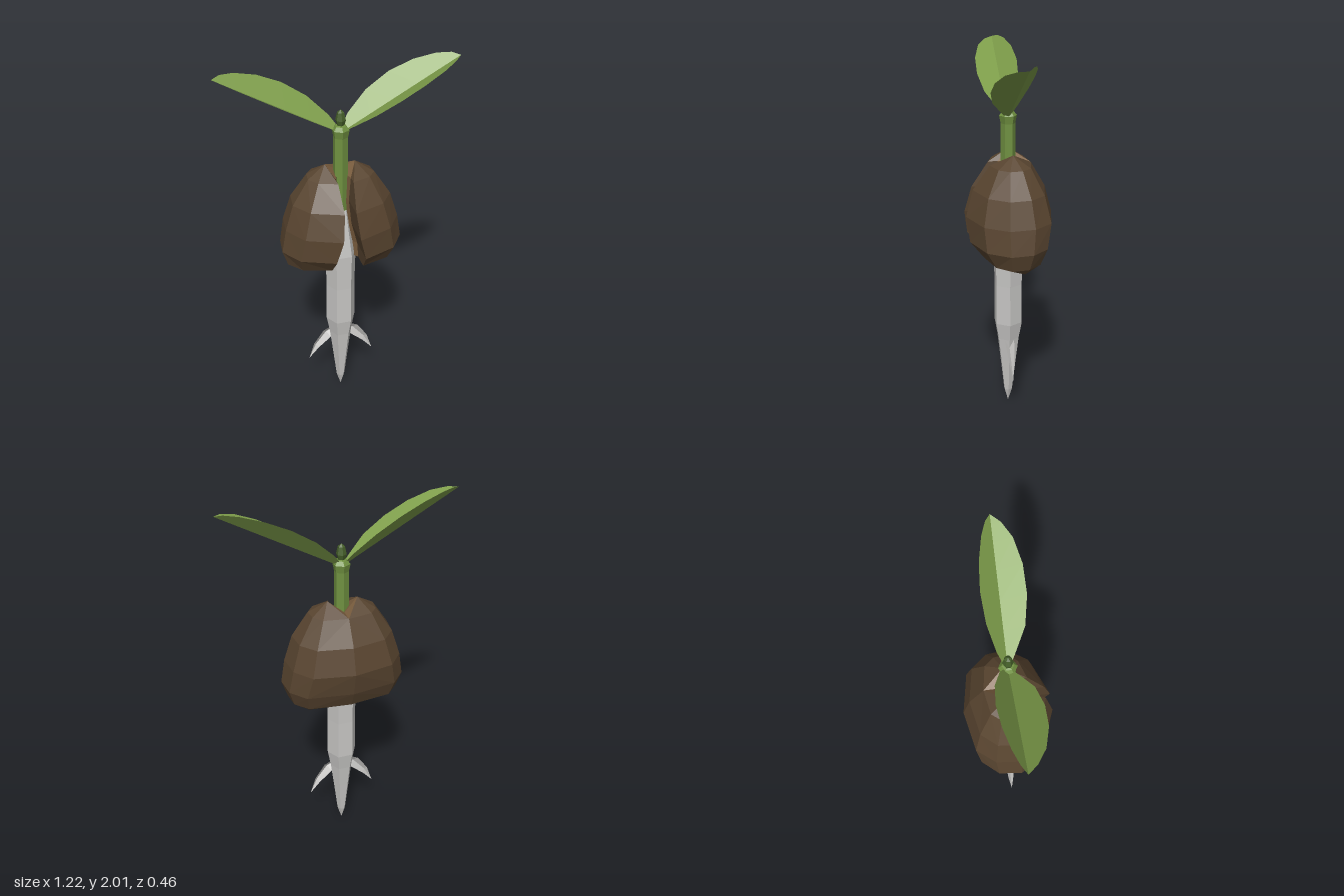
import * as THREE from 'three';

const mat = (name, color, extra = {}) => {
  const m = new THREE.MeshStandardMaterial({ color, flatShading: true, ...extra });
  m.name = name;
  return m;
};

// Skin between neighbouring cross-sections (listed from top to bottom, points counterclockwise from above)
function loft(rings, columns) {
  const pos = [];
  const tri = (...pts) => pts.forEach((p) => pos.push(...p));
  for (let i = 0; i < rings.length - 1; i++) {
    const up = rings[i], low = rings[i + 1], n = up.length;
    for (const j of columns) {
      const k = (j + 1) % n;
      tri(low[j], low[k], up[k]);
      tri(low[j], up[k], up[j]);
    }
  }
  const g = new THREE.BufferGeometry();
  g.setAttribute('position', new THREE.Float32BufferAttribute(pos, 3));
  g.computeVertexNormals();
  return g;
}

// Six-sided turned shape; profile is [radius, y] from bottom to top
const turned = (profile, start) =>
  new THREE.LatheGeometry(profile.map(([r, y]) => new THREE.Vector2(r, y)), 6, start, Math.PI * 2);

export function createModel() {
  const model = new THREE.Group();
  model.name = 'sprout';

  const leafGreen = mat('leaf green', 0x7f9f4b, { side: THREE.DoubleSide });
  const stemGreen = mat('stem green', 0x6f9040);
  const budGreen = mat('bud green', 0x46602a);
  const rootWhite = mat('root white', 0xc6c5c3);
  const coatBrown = mat('seed coat brown', 0x594530);
  const innerBrown = mat('seed inside brown', 0x7a5d3e);

  const add = (parent, name, geometry, material) => {
    const mesh = new THREE.Mesh(geometry, material);
    mesh.name = name;
    parent.add(mesh);
    return mesh;
  };

  // Main root, stem and central bud
  add(model, 'mainRoot', turned([[0, 0], [0.024, 0.08], [0.047, 0.28], [0.064, 0.42], [0.082, 0.52],
    [0.08, 0.75], [0.085, 0.96], [0.04, 1.23], [0, 1.23]], Math.PI / 2), rootWhite);
  add(model, 'stem', turned([[0.04, 1.2], [0.038, 1.64], [0.046, 1.68], [0.03, 1.7], [0, 1.71]], 0), stemGreen);
  add(model, 'bud', turned([[0.012, 1.68], [0.027, 1.73], [0.018, 1.77], [0, 1.785]], 0), budGreen);

  // Seed coat half: y, inner x, outer x, front z, back z
  const levels = [
    [1.43, 0.04, 0.175, 0.1, -0.12],
    [1.3, 0.03, 0.26, 0.19, -0.195],
    [1.16, 0.045, 0.303, 0.228, -0.232],
    [1.03, 0.078, 0.325, 0.212, -0.205],
    [0.94, 0.085, 0.295, 0.14, -0.165],
  ];
  const seedRing = ([y, a, b, f, k]) => {
    const x = (u) => a + u * (b - a);
    return [
      [a, y, f], [x(0.7), y, f * 0.68], [x(1), y, f * 0.15], [x(0.95), y, k * 0.42],
      [x(0.65), y, k * 0.83], [0, y, k], [0, y, -0.05], [a, y, 0.05],
    ];
  };
  const pole = (...p) => Array(8).fill(p);
  const seedRings = [pole(0.08, 1.49, -0.015), ...levels.map(seedRing), pole(0.2, 0.88, -0.06)];

  // Leaf stations: x, front edge z, back edge z
  const stations = [
    [0.02, 0.02, -0.025], [0.05, 0.04, -0.045], [0.15, 0.1, -0.078], [0.27, 0.124, -0.088],
    [0.39, 0.12, -0.077], [0.5, 0.09, -0.052], [0.57, 0.045, -0.026], [0.61, 0, 0],
  ];
  const leafSections = stations.map(([x, f, k]) => {
    const y = 1.672 + (x - 0.02) * 0.555;
    return [[x, y + f * 0.3, f], [x, y, 0], [x, y - k * 1.25, k]];
  });

  // Side root sections: centre x, centre y, half thickness, half depth
  const sideSections = [
    [0.03, 0.425, 0.035, 0.025], [0.08, 0.4, 0.035, 0.025], [0.145, 0.325, 0.022, 0.015], [0.19, 0.24, 0, 0],
  ].map(([x, y, t, d]) => [
    [x - t * 0.6, y - t * 0.8, 0], [x, y, d], [x + t * 0.6, y + t * 0.8, 0], [x, y, -d],
  ].reverse());

  // Mirrored parts
  for (const [side, name] of [[1, 'left'], [-1, 'right']]) {
    const half = new THREE.Group();
    half.name = name + 'Half';
    half.scale.x = side;
    add(half, name + 'SeedCoat', loft(seedRings, [0, 1, 2, 3, 4, 7]), coatBrown);
    add(half, name + 'SeedInside', loft(seedRings, [5, 6]), innerBrown);
    add(half, name + 'Leaf', loft(leafSections, [0, 1]), leafGreen);
    add(half, name + 'SideRoot', loft(sideSections, [0, 1, 2, 3]), rootWhite);
    model.add(half);
  }
  return model;
}
